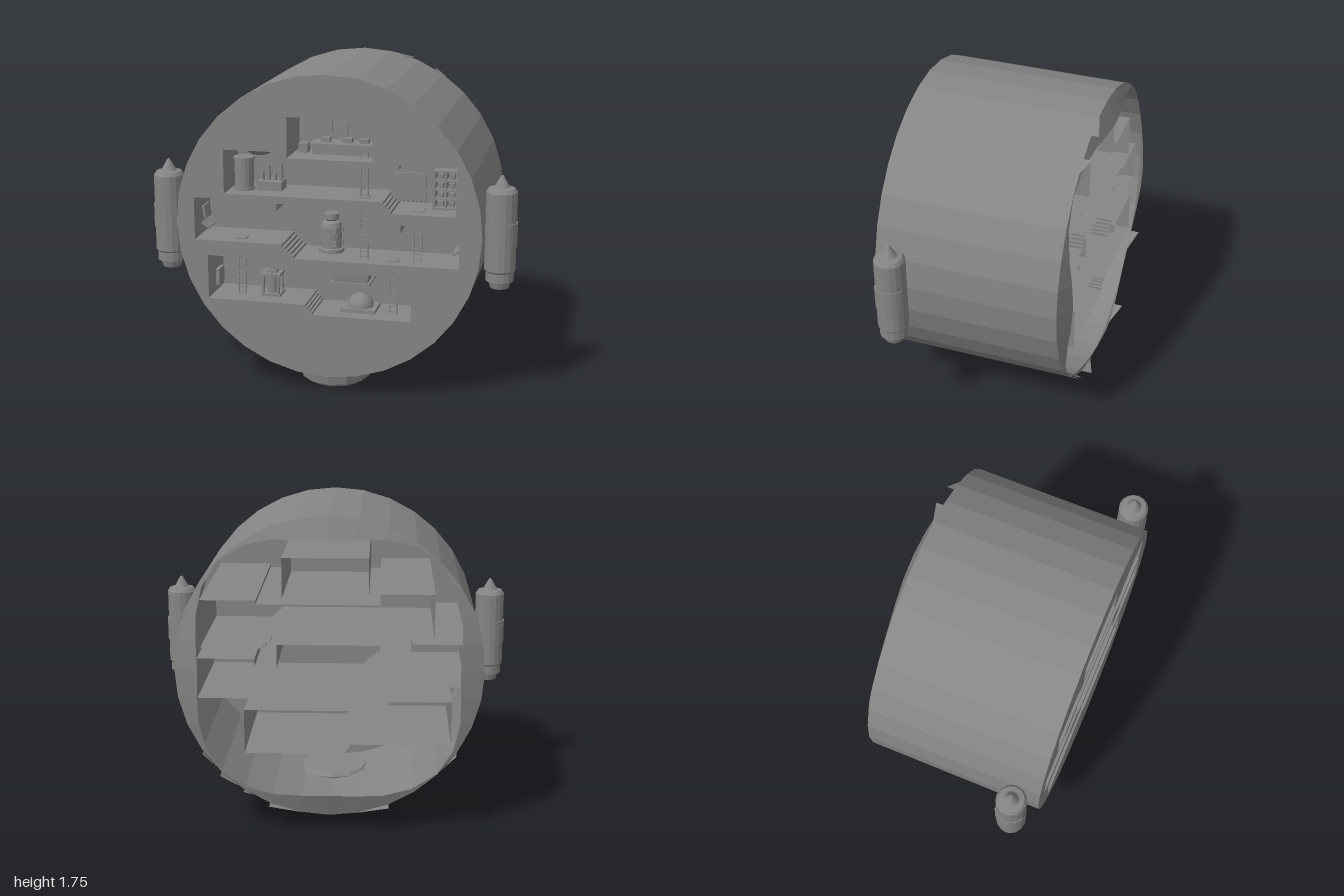
import * as THREE from 'three';

const FRONT = 0.54, BACK = -0.46, ROOM_BACK = 0.27, R = 0.83, CY = 0.92;
const GREY = 0x858585;
const flat = new THREE.MeshStandardMaterial({ color: GREY, flatShading: true });
const thin = new THREE.MeshStandardMaterial({ color: GREY, flatShading: true, side: THREE.DoubleSide });
const smooth = new THREE.MeshStandardMaterial({ color: GREY, side: THREE.DoubleSide });

function add(parent, name, geometry, x = 0, y = 0, z = 0, material = flat) {
  const mesh = new THREE.Mesh(geometry, material);
  mesh.name = name;
  mesh.position.set(x, y, z);
  parent.add(mesh);
  return mesh;
}
const box = (p, name, w, h, d, x, y, z) => add(p, name, new THREE.BoxGeometry(w, h, d), x, y, z);
const cyl = (p, name, rt, rb, h, x, y, z, n = 16) => add(p, name, new THREE.CylinderGeometry(rt, rb, h, n), x, y, z);
const lathe = (pts, n) => new THREE.LatheGeometry(pts.map(([r, y]) => new THREE.Vector2(r, y)), n);

function surface(triangles) {
  const g = new THREE.BufferGeometry();
  g.setAttribute('position', new THREE.Float32BufferAttribute(triangles.flat(), 3));
  g.computeVertexNormals();
  return g;
}

// Stair outline rising from one point to another
function stairs(x0, y0, x1, y1, n) {
  const pts = [];
  for (let i = 0; i < n; i++) {
    const x = x0 + (x1 - x0) * i / n;
    pts.push([x, y0 + (y1 - y0) * i / n], [x, y0 + (y1 - y0) * (i + 1) / n]);
  }
  return [...pts, [x1, y1]];
}

const rooms = {
  controlRoom: [[-0.21, 1.52], [0.25, 1.52], [0.25, 1.3], [-0.21, 1.3]],
  upperRoom: [[-0.56, 1.33], [-0.27, 1.33], [-0.27, 1.27], [0.39, 1.27], [0.39, 1.29], [0.69, 1.29], [0.69, 1.03],
    ...stairs(0.35, 1.03, 0.29, 1.09, 4), [-0.56, 1.09]],
  middleRoom: [[-0.73, 1.06], [-0.44, 1.06], [-0.44, 1.01], [-0.27, 1.01], [-0.27, 1.05], [0.28, 1.05], [0.28, 0.925],
    [0.4, 0.925], [0.4, 0.97], [0.71, 0.97], [0.71, 0.75], ...stairs(-0.18, 0.75, -0.26, 0.825, 5), [-0.73, 0.825]],
  lowerRoom: [[-0.66, 0.74], [-0.32, 0.74], [-0.32, 0.685], [0.46, 0.685], [0.46, 0.44],
    ...stairs(-0.08, 0.44, -0.13, 0.495, 4), [-0.66, 0.495]],
};

// Walls, floor and ceiling running through the hull, with the room's rear wall part way
function addRoom(parent, name, outline) {
  const pts = [...outline].reverse(), tris = [], zb = BACK + 0.01;
  pts.forEach(([x, y], i) => {
    const [u, v] = pts[(i + 1) % pts.length];
    tris.push([x, y, FRONT, u, v, FRONT, u, v, zb], [x, y, FRONT, u, v, zb, x, y, zb]);
  });
  add(parent, name, surface(tris), 0, 0, 0, thin);
  const shape = new THREE.Shape(pts.map(([x, y]) => new THREE.Vector2(x, y)));
  add(parent, name + 'RearWall', new THREE.ShapeGeometry(shape), 0, 0, ROOM_BACK, thin);
}

function addHull(g) {
  const shell = add(g, 'hullShell', new THREE.CylinderGeometry(R, R, FRONT - BACK, 32, 1, true), 0, CY, (FRONT + BACK) / 2, thin);
  shell.rotation.x = Math.PI / 2;
  // Front plate with room openings
  const ring = [];
  for (let i = 0; i < 32; i++) ring.push(new THREE.Vector2(R * Math.sin(i * Math.PI / 16), CY + R * Math.cos(i * Math.PI / 16)));
  const plate = new THREE.Shape(ring);
  for (const o of Object.values(rooms)) plate.holes.push(new THREE.Path(o.map(([x, y]) => new THREE.Vector2(x, y))));
  add(g, 'frontPlate', new THREE.ShapeGeometry(plate), 0, 0, FRONT, thin);
  // Rear rim: four curved flaps, widest at the sides, top and bottom
  const rim = [], at = (i, r, z) => [r * Math.sin(i * Math.PI / 16), CY + r * Math.cos(i * Math.PI / 16), z];
  const inner = i => {
    const b = Math.cos(i * Math.PI / 8) ** 2;
    return at(i, R - 0.005 - 0.125 * b, BACK - 0.05 * b);
  };
  for (let i = 0; i < 32; i++) {
    const a = at(i, R, BACK), b = at(i + 1, R, BACK), c = inner(i + 1), d = inner(i);
    rim.push([...a, ...b, ...c], [...a, ...c, ...d]);
  }
  add(g, 'rearRim', surface(rim), 0, 0, 0, thin);
  // Torn shards: start angle, angle of the tip, length
  const shards = [[-42, -34.5, 0.05], [-54, -45, 0.07], [-60, -56, 0.04], [-80, -67, 0.06],
    [-100, -113, 0.06], [-138, -146, 0.05], [54, 60, 0.04], [80, 70, 0.04]];
  const tris = shards.map(([from, to, len]) => {
    const p = (d, z) => [R * Math.cos(d * Math.PI / 180), CY + R * Math.sin(d * Math.PI / 180), z];
    return [...p(from, BACK), ...p(to, BACK), ...p(to, BACK - len)];
  });
  add(g, 'tornShards', surface(tris), 0, 0, 0, thin);
}

function addLadder(g, x, y0, y1) {
  const z = 0.46, ladder = new THREE.Group();
  ladder.name = 'ladder';
  for (const s of [-1, 1]) box(ladder, 'ladderRail', 0.006, y1 - y0, 0.008, x + s * 0.02, (y0 + y1) / 2, z);
  for (let y = y0 + 0.015; y < y1; y += 0.03) box(ladder, 'ladderRung', 0.04, 0.006, 0.006, x, y, z);
  g.add(ladder);
}

function makePod() {
  const pod = new THREE.Group();
  add(pod, 'podBody', lathe([[0, 0.63], [0.05, 0.63], [0.062, 0.67], [0.075, 0.67], [0.075, 0.72], [0.083, 0.73], [0.083, 1.15],
    [0.07, 1.17], [0.042, 1.175], [0.008, 1.235], [0, 1.24]], 16));
  add(pod, 'podSidePanel', new THREE.CylinderGeometry(0.088, 0.088, 0.13, 10, 1, false, Math.PI / 2 - 1.15, 2.3), 0, 0.925, 0, thin);
  return pod;
}

function addFurniture(g) {
  // Control room: screens, desk, cabinet
  for (const [x, y, w, h] of [[-0.105, 1.445, 0.165, 0.1], [0.152, 1.445, 0.155, 0.1], [0.022, 1.42, 0.085, 0.07]])
    box(g, 'screen', w, h, 0.012, x, y, 0.28);
  box(g, 'controlDesk', 0.33, 0.05, 0.1, 0.06, 1.325, 0.36);
  box(g, 'deskTop', 0.35, 0.012, 0.13, 0.06, 1.355, 0.36);
  for (const x of [-0.04, 0.08, 0.17]) box(g, 'deskConsole', 0.05, 0.025, 0.04, x, 1.373, 0.36);
  box(g, 'cabinet', 0.05, 0.05, 0.06, -0.16, 1.325, 0.36);
  // Upper room: tank, lamp, counter with bottles
  cyl(g, 'storageTank', 0.052, 0.052, 0.16, -0.48, 1.18, 0.42);
  for (const y of [1.1, 1.265]) cyl(g, 'tankRim', 0.058, 0.058, 0.014, -0.48, y, 0.42);
  add(g, 'hangingLamp', lathe([[0, 1.28], [0.05, 1.285], [0.095, 1.315], [0.095, 1.322], [0, 1.322]], 20), -0.4, 0, 0.38);
  box(g, 'counter', 0.14, 0.05, 0.1, -0.34, 1.115, 0.38);
  [0.05, 0.08, 0.04, 0.1].forEach((h, i) => cyl(g, 'bottle', 0.01, 0.013, h, -0.39 + i * 0.035, 1.14 + h / 2, 0.38, 8));
  // Curtain panel and shelving
  box(g, 'curtainPanel', 0.19, 0.15, 0.015, 0.405, 1.13, 0.325);
  for (let i = 0; i < 8; i++) cyl(g, 'curtainFold', 0.01, 0.01, 0.16, 0.325 + i * 0.023, 1.12, 0.305, 8);
  for (const x of [0.555, 0.615, 0.68]) box(g, 'shelfPost', 0.012, 0.21, 0.08, x, 1.135, 0.38);
  for (let i = 0; i < 5; i++) {
    box(g, 'shelfBoard', 0.135, 0.01, 0.08, 0.617, 1.04 + i * 0.05, 0.38);
    if (i < 4) for (const x of [0.585, 0.645]) box(g, 'shelfItem', 0.03, 0.028, 0.04, x, 1.059 + i * 0.05, 0.38);
  }
  // Middle room: reactor, ceiling lamps, wall consoles
  add(g, 'reactor', lathe([[0, 0.75], [0.07, 0.75], [0.07, 0.77], [0.058, 0.775], [0.058, 0.89], [0.05, 0.915],
    [0.03, 0.925], [0.042, 0.935], [0.042, 0.965], [0, 0.965]], 16), -0.015, 0, 0.345);
  for (let i = 0; i < 6; i++) for (const y of [0.805, 0.875]) {
    const a = i * Math.PI / 3 + Math.PI / 6;
    box(g, 'reactorStud', 0.02, 0.03, 0.02, -0.015 + 0.055 * Math.sin(a), y, 0.345 + 0.055 * Math.cos(a));
  }
  for (const x of [-0.18, 0.09])
    add(g, 'ceilingLamp', new THREE.SphereGeometry(0.038, 14, 6, 0, Math.PI * 2, Math.PI / 2, Math.PI / 2), x, 1.052, 0.4, smooth).scale.y = 0.6;
  for (const [x, y, s] of [[-0.7, 0.88, 1], [0.685, 0.81, -1]]) {
    box(g, 'wallConsole', 0.055, 0.012, 0.13, x, y, 0.38).rotation.z = -s * 0.6;
    box(g, 'wallScreen', 0.012, 0.07, 0.1, x - s * 0.012, y + 0.07, 0.38).rotation.z = s * 0.15;
  }
  // Lower room: engine, ceiling hopper, dome, wall panel
  for (const y of [0.507, 0.62]) box(g, 'enginePlate', 0.11, 0.016, 0.11, -0.335, y, 0.4);
  cyl(g, 'engineCore', 0.035, 0.035, 0.13, -0.335, 0.565, 0.4, 12);
  for (const s of [-1, 1]) for (const t of [-1, 1]) cyl(g, 'enginePost', 0.008, 0.008, 0.1, -0.335 + s * 0.042, 0.565, 0.4 + t * 0.042, 8);
  box(g, 'engineCap', 0.06, 0.016, 0.06, -0.335, 0.635, 0.4);
  cyl(g, 'ceilingHopper', 0.14, 0.13, 0.07, 0.12, 0.64, 0.39, 4).rotation.y = Math.PI / 4;
  for (const y of [0.612, 0.678]) box(g, 'hopperRim', 0.21, 0.014, 0.21, 0.12, y, 0.39);
  box(g, 'domeBase', 0.19, 0.02, 0.16, 0.155, 0.45, 0.38);
  add(g, 'dome', new THREE.SphereGeometry(0.072, 16, 6, 0, Math.PI * 2, 0, Math.PI / 2), 0.155, 0.46, 0.38, smooth);
  box(g, 'wallPanel', 0.02, 0.09, 0.09, -0.645, 0.58, 0.38);
}

export function createModel() {
  const g = new THREE.Group();
  g.name = 'cutawayBase';
  addHull(g);
  for (const [name, outline] of Object.entries(rooms)) addRoom(g, name, outline);
  addFurniture(g);
  addLadder(g, 0.19, 0.75, 1.06);
  addLadder(g, 0.19, 1.09, 1.34);
  addLadder(g, 0.48, 0.75, 0.97);
  addLadder(g, 0.35, 0.45, 0.685);
  addLadder(g, -0.49, 0.5, 0.74);
  // Floor hatches where the ladders pass
  for (const [x, y] of [[-0.49, 0.828], [0.35, 0.753], [0.19, 1.093], [0.48, 1.033]]) box(g, 'hatch', 0.06, 0.006, 0.06, x, y, 0.45);
  // Side pods
  for (const s of [-1, 1]) {
    const pod = makePod();
    pod.name = s > 0 ? 'leftPod' : 'rightPod';
    pod.position.set(s * 0.911, 0, 0.415);
    if (s < 0) pod.rotation.y = Math.PI;
    g.add(pod);
  }
  // Bottom thruster
  add(g, 'thruster', lathe([[0, 0], [0.15, 0], [0.17, 0.025], [0.19, 0.025], [0.205, 0.1], [0.19, 0.12], [0, 0.12]], 12), 0, 0, 0.305);
  return g;
}
